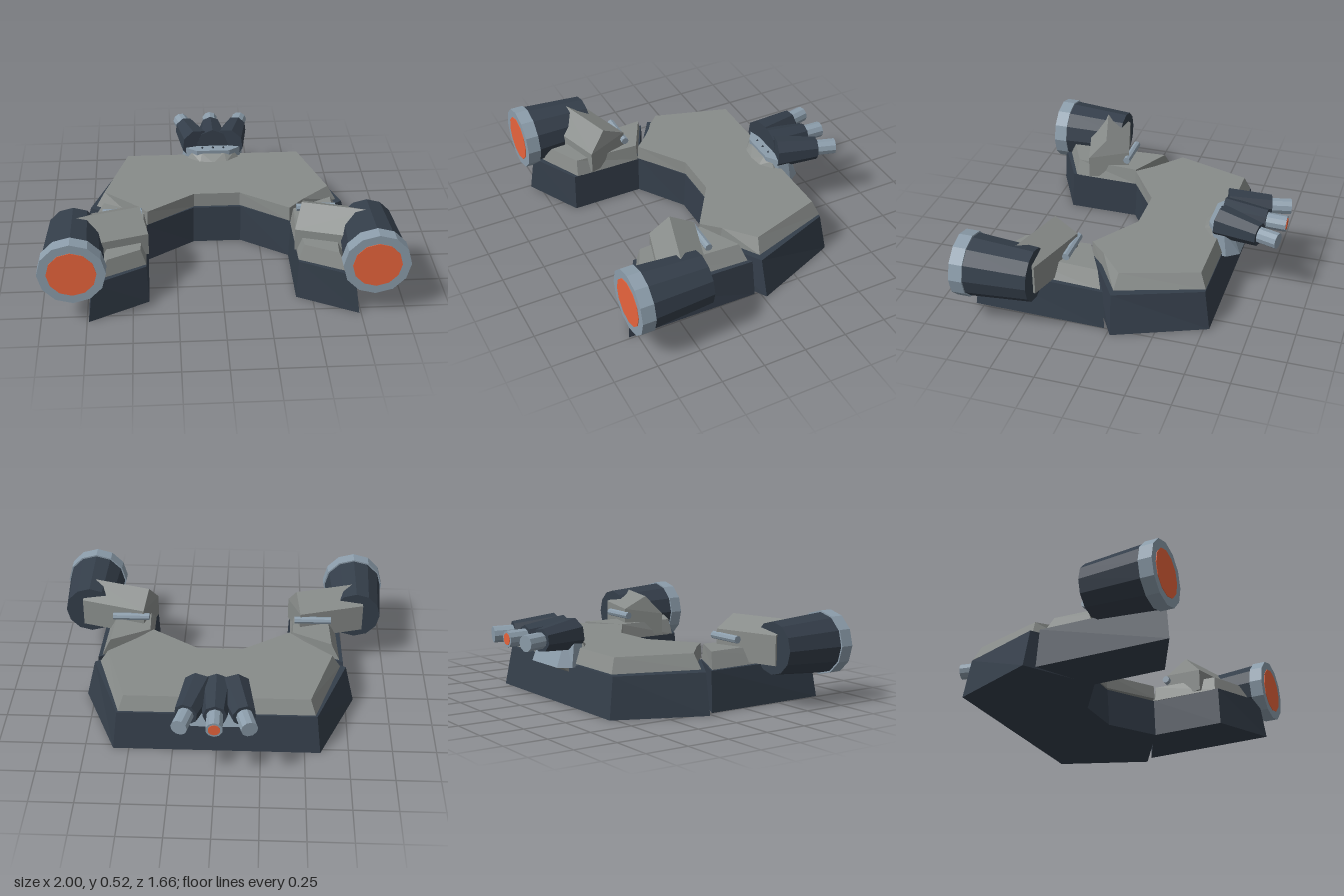
import * as THREE from 'three';
import { ConvexGeometry } from 'three/addons/geometries/ConvexGeometry.js';

const mat = (color) => new THREE.MeshStandardMaterial({ color, flatShading: true });
const DARK = mat(0x343e4a), GREY = mat(0x888c8a), STEEL = mat(0x8c9dab), GLOW = mat(0xe8643c);

const V = (x, y, z) => new THREE.Vector3(x, y, z);

function part(parent, name, geometry, material) {
  const m = new THREE.Mesh(geometry, material);
  m.name = name;
  parent.add(m);
  return m;
}

// Tapered prism between two plan outlines ([x, z] pairs) at heights y0 and y1
function loft(low, high, y0, y1) {
  let a = low.map(([x, z]) => new THREE.Vector2(x, z));
  let b = high.map(([x, z]) => new THREE.Vector2(x, z));
  if (THREE.ShapeUtils.isClockWise(a)) { a.reverse(); b.reverse(); }
  const n = a.length, pos = [], idx = [];
  a.forEach((p) => pos.push(p.x, y0, p.y));
  b.forEach((p) => pos.push(p.x, y1, p.y));
  for (const [i, j, k] of THREE.ShapeUtils.triangulateShape(a, [])) idx.push(i, j, k);
  for (const [i, j, k] of THREE.ShapeUtils.triangulateShape(b, [])) idx.push(n + k, n + j, n + i);
  for (let i = 0; i < n; i++) {
    const j = (i + 1) % n;
    idx.push(i, n + i, n + j, i, n + j, j);
  }
  const g = new THREE.BufferGeometry();
  g.setAttribute('position', new THREE.Float32BufferAttribute(pos, 3));
  g.setIndex(idx);
  const flat = g.toNonIndexed();
  flat.computeVertexNormals();
  return flat;
}

const mirrored = (half) => [...half, ...half.map(([x, z]) => [-x, z]).reverse()];
const onSide = (pts, s) => pts.map(([x, z]) => [x * s, z]);

// Tapered cylinder from point a to point b
function tube(a, b, ra, rb, sides) {
  const d = b.clone().sub(a);
  const g = new THREE.CylinderGeometry(rb, ra, d.length(), sides);
  g.applyQuaternion(new THREE.Quaternion().setFromUnitVectors(V(0, 1, 0), d.clone().normalize()));
  g.translate((a.x + b.x) / 2, (a.y + b.y) / 2, (a.z + b.z) / 2);
  return g;
}

function buildArm(s) {
  const arm = new THREE.Group();
  arm.name = s > 0 ? 'leftArm' : 'rightArm';

  // Lower hull and raised deck of the arm
  part(arm, 'armHull', loft(
    onSide([[0.75, 0.03], [0.74, 0.8], [0.41, 0.63], [0.41, 0.2]], s),
    onSide([[0.73, 0.04], [0.71, 0.775], [0.42, 0.62], [0.42, 0.2]], s), 0, 0.23), DARK);
  part(arm, 'armDeck', loft(
    onSide([[0.71, 0.06], [0.68, 0.73], [0.42, 0.6], [0.415, 0.21]], s),
    onSide([[0.66, 0.09], [0.63, 0.68], [0.45, 0.59], [0.43, 0.21]], s), 0.228, 0.322), GREY);

  // Angled shoulder block with a ridge along its top; u runs outward, v forward
  const at = (u, v, y) => V(s * (0.475 + 0.96 * u - 0.28 * v), y, 0.27 + 0.28 * u + 0.96 * v);
  const section = [[0, 0.24], [0, 0.41], [0.14, 0.485], [0.25, 0.37], [0.25, 0.24]];
  part(arm, 'shoulderBlock', new ConvexGeometry(section.flatMap(([v, y]) =>
    [at(y > 0.45 ? 0.015 : 0, v, y), at(0.4, v, y)])), GREY);
  part(arm, 'crossRod', tube(V(s * 0.44, 0.37, 0.275), V(s * 0.66, 0.37, 0.275), 0.022, 0.022, 8), STEEL);

  // Lamp pod
  const x = s * 0.815;
  part(arm, 'podBody', tube(V(x, 0.333, 0.395), V(x, 0.333, 0.76), 0.15, 0.176, 12), DARK);
  part(arm, 'podRim', tube(V(x, 0.333, 0.748), V(x, 0.333, 0.825), 0.184, 0.184, 12), STEEL);
  part(arm, 'podGlow', tube(V(x, 0.333, 0.8), V(x, 0.333, 0.828), 0.134, 0.134, 12), GLOW);
  return arm;
}

function buildTurret() {
  const turret = new THREE.Group();
  turret.name = 'rearTurret';

  // Mount, with sloped collar in front and bracket below
  part(turret, 'turretMount', loft(
    mirrored([[0.14, -0.59], [0.19, -0.52], [0.18, -0.45], [0.1, -0.41]]),
    mirrored([[0.13, -0.53], [0.18, -0.5], [0.165, -0.44], [0.1, -0.395]]), 0.22, 0.383), STEEL);
  part(turret, 'mountCollar', new ConvexGeometry([
    V(0, 0.32, -0.35), V(0, 0.37, -0.41),
    ...[-1, 1].flatMap((s) => [V(s * 0.08, 0.32, -0.36), V(s * 0.16, 0.32, -0.42),
      V(s * 0.13, 0.36, -0.42), V(s * 0.07, 0.365, -0.4), V(s * 0.15, 0.32, -0.46)]),
  ]), GREY);
  part(turret, 'mountBracket', new ConvexGeometry([-0.12, 0.12].flatMap((x) => [
    V(x, 0.18, -0.495), V(x, 0.3, -0.48), V(x, 0.23, -0.565), V(x, 0.3, -0.56)])), GREY);
  for (const i of [-1, 0, 1]) {
    const vent = part(turret, 'mountVent', new THREE.ConeGeometry(0.014, 0.02, 3), DARK);
    vent.position.set(i * 0.065, 0.386, -0.43);
  }

  // Three fanned barrel housings and barrels
  for (const i of [-1, 0, 1]) {
    const tilt = i * 0.26;
    const along = (d) => V(i * 0.095 + Math.sin(tilt) * d, 0.395 - 0.03 * d, -0.46 - Math.cos(tilt) * d);
    part(turret, 'barrelHousing', tube(along(0), along(0.25), 0.096, 0.067, 8), DARK);
    part(turret, 'barrel', tube(along(0.2), along(0.365), 0.047, 0.047, 10), STEEL);
    if (i === 0) part(turret, 'barrelGlow', tube(along(0.34), along(0.368), 0.034, 0.034, 10), GLOW);
  }
  // Filler joining the housings
  part(turret, 'housingCore', new ConvexGeometry([-1, 1].flatMap((s) => [
    V(s * 0.17, 0.35, -0.47), V(s * 0.15, 0.46, -0.48), V(s * 0.11, 0.35, -0.62), V(s * 0.1, 0.43, -0.6)])), DARK);
  return turret;
}

export function createModel() {
  const model = new THREE.Group();
  model.name = 'horseshoeCraft';

  // Main body
  part(model, 'mainHull', loft(
    mirrored([[0.59, -0.53], [0.8, -0.02], [0.41, 0.21], [0.14, 0.03]]),
    mirrored([[0.565, -0.495], [0.745, -0.01], [0.42, 0.2], [0.14, 0.02]]), 0, 0.23), DARK);
  part(model, 'mainDeck', loft(
    mirrored([[0.555, -0.495], [0.71, -0.015], [0.5, 0.12], [0.41, 0.21], [0.135, 0.02]]),
    mirrored([[0.525, -0.46], [0.66, -0.03], [0.5, 0.11], [0.41, 0.205], [0.135, 0.02]]), 0.24, 0.325), GREY);

  model.add(buildArm(1), buildArm(-1), buildTurret());
  return model;
}
